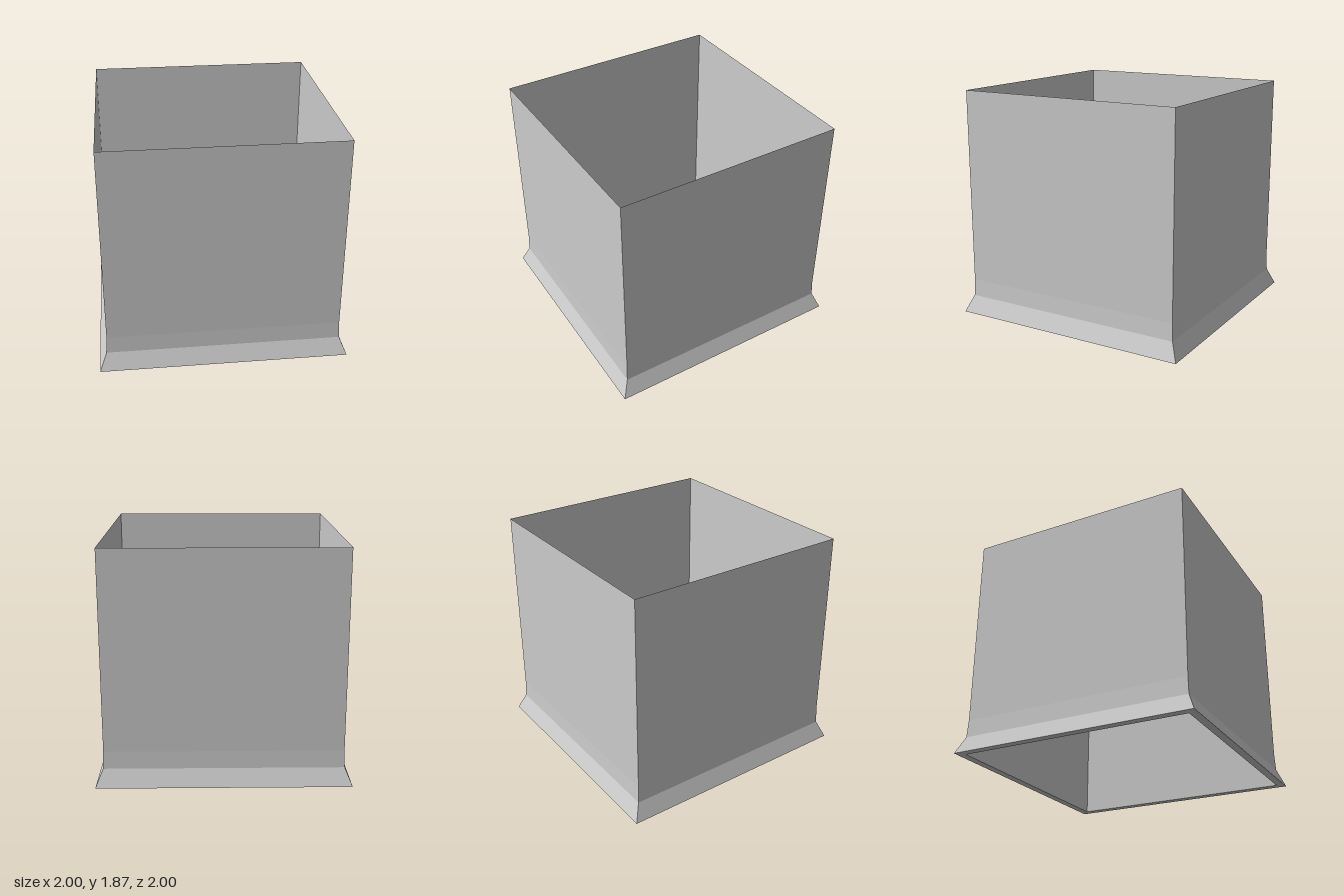
import * as THREE from 'three';

const material = new THREE.MeshStandardMaterial({
  color: 0xcccccc, flatShading: true, side: THREE.DoubleSide,
});

// Sweeps a [half width, height] profile around a square plan.
function squareSweep(name, profile) {
  const points = profile.map(([half, y]) => new THREE.Vector2(half * Math.SQRT2, y));
  const geometry = new THREE.LatheGeometry(points, 4, Math.PI / 4);
  const mesh = new THREE.Mesh(geometry, material);
  mesh.name = name;
  return mesh;
}

export function createModel() {
  const group = new THREE.Group();
  group.name = 'openBox';
  const wall = 0.935;

  // Thin walls, open at top and bottom
  group.add(squareSweep('walls', [[wall, 0], [wall, 1.87]]));

  // Flared foot: flat underside, sloping skirt, then a slight taper into the walls
  group.add(squareSweep('flaredSkirt', [[wall, 0], [1, 0], [0.941, 0.14], [wall, 0.28]]));

  return group;
}
